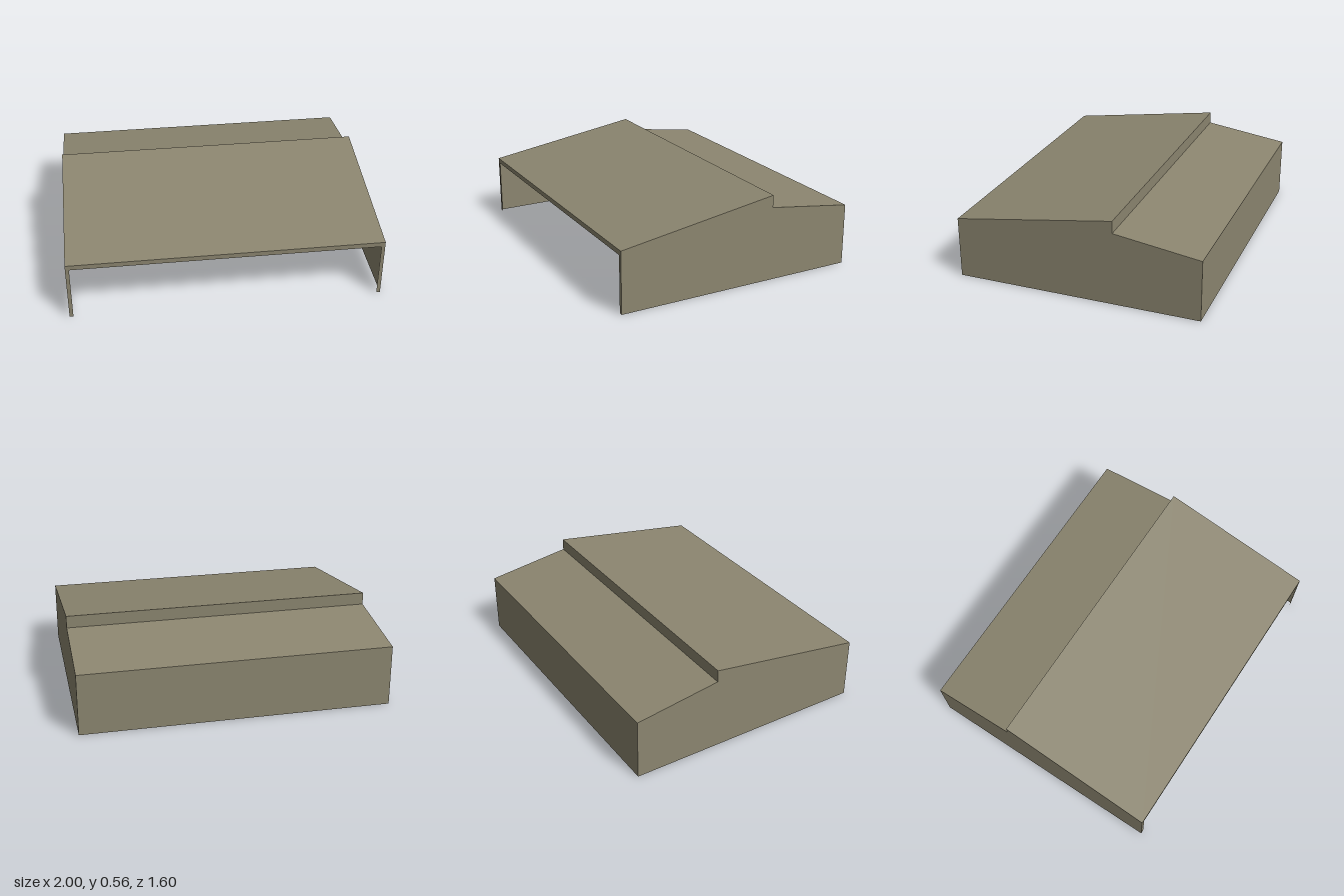
import * as THREE from 'three';

// Side profile as [z, y], running from the front eave over the roof to the back foot
const PROFILE = [
  [0.8, 0.4],
  [-0.24, 0.56],
  [-0.24, 0.48],
  [-0.8, 0.4],
  [-0.8, 0],
];
const SHEETS = ['frontRoof', 'roofStep', 'backRoof', 'backWall'];

export function createModel() {
  const group = new THREE.Group();
  const paint = new THREE.MeshStandardMaterial({ color: 0x8c8670, side: THREE.DoubleSide });
  paint.name = 'olive grey';

  const add = (name, geometry) => {
    const mesh = new THREE.Mesh(geometry, paint);
    mesh.name = name;
    group.add(mesh);
    return mesh;
  };

  // Roof slopes, step and back wall: full-width sheets along the profile
  SHEETS.forEach((name, i) => {
    const [z0, y0] = PROFILE[i];
    const [z1, y1] = PROFILE[i + 1];
    const dz = z1 - z0, dy = y1 - y0;
    const sheet = new THREE.PlaneGeometry(2, Math.hypot(dz, dy));
    sheet.rotateX(Math.atan2(dz, dy));
    sheet.translate(0, (y0 + y1) / 2, (z0 + z1) / 2);
    add(name, sheet);
  });

  // Side walls: the profile closed down to the ground, facing outwards
  for (const [name, side] of [['leftWall', 1], ['rightWall', -1]]) {
    const points = [[0.8, 0], ...PROFILE].map(([z, y]) => new THREE.Vector2(-side * z, y));
    const wall = new THREE.ShapeGeometry(new THREE.Shape(points));
    wall.rotateY(side * Math.PI / 2);
    wall.translate(side, 0, 0);
    add(name, wall);
  }

  // Narrow frame around the open front
  const frame = new THREE.Shape(
    [[-1, 0], [-0.976, 0], [-0.976, 0.368], [0.976, 0.368], [0.976, 0], [1, 0], [1, 0.4], [-1, 0.4]]
      .map(([x, y]) => new THREE.Vector2(x, y)),
  );
  add('frontFrame', new THREE.ShapeGeometry(frame)).position.z = 0.8;

  return group;
}
